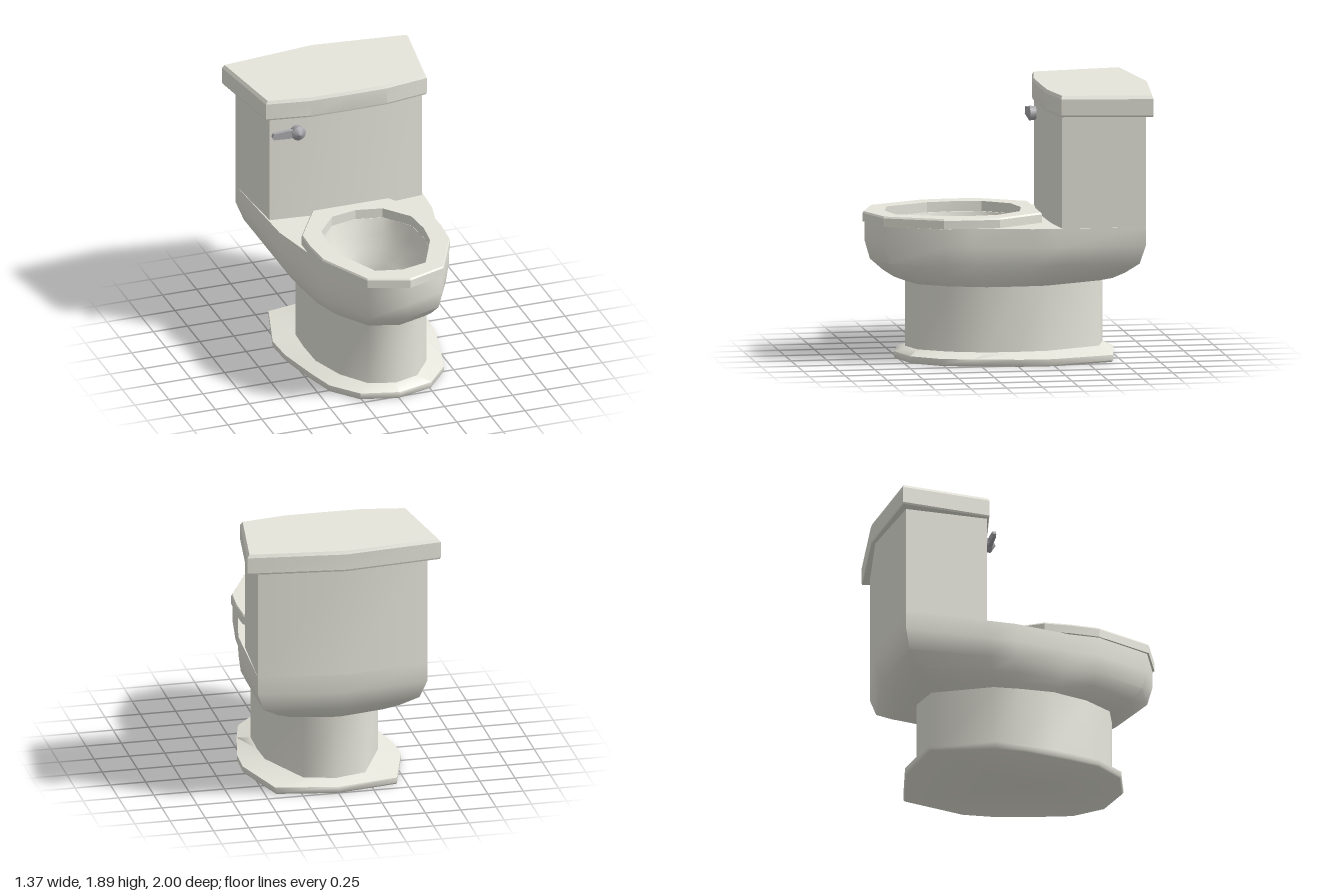
import * as THREE from 'three';
import { toCreasedNormals } from 'three/addons/utils/BufferGeometryUtils.js';

// Half outlines [x, z] run from the front centre to the back centre.
const BODY = [[0, .985], [.27, .89], [.46, .51], [.47, .3], [.56, -.1], [.57, -.29], [.6, -.88], [0, -.97]];
const PEDESTAL = [[0, .7], [.18, .645], [.32, .45], [.405, .2], [.41, -.03], [.4, -.22], [.22, -.62], [0, -.68]];
const FOOT = [[0, .78], [.26, .71], [.42, .52], [.48, .3], [.55, -.02], [.56, -.24], [.43, -.68], [0, -.76]];
const HOLE = [[0, .845], [.185, .8], [.33, .49], [.35, .31], [.33, .11], [.26, .02], [.185, -.07], [0, -.11]];
const SEAT = [[0, 1], [.28, .9], [.47, .51], [.485, .3], [.48, .12], [.28, -.21], [0, -.21]];
const TANK = [[0, -.265], [.28, -.27], [.56, -.3], [.6, -.88], [0, -.97]];
const LID = [[0, -.235], [.28, -.238], [.59, -.29], [.685, -.92], [0, -1]];

const mix = (a, b, t) => a.map(([x, z], i) => [x + (b[i][0] - x) * t, z + (b[i][1] - z) * t]);
const scale = (a, s, from, to = from) => a.map(([x, z]) => [x * s, (z - from) * s + to]);
const ring = (y, half) => {
  const mirrored = half.slice(1, -1).reverse().map(([x, z]) => [-x, z]);
  return [...half, ...mirrored].map(([x, z]) => [x, y, z]);
};

// Skin a stack of rings, optionally closing the first and last one.
function loft(rings, crease, capStart = true, capEnd = true) {
  const pos = [];
  const n = rings[0].length;
  const tri = (...corners) => corners.forEach(c => pos.push(...c));
  const middle = r => [0, r[0][1], r.reduce((sum, p) => sum + p[2], 0) / n];
  for (let j = 0; j < n; j++) {
    const k = (j + 1) % n;
    for (let i = 0; i < rings.length - 1; i++) {
      const a = rings[i], b = rings[i + 1];
      tri(a[j], a[k], b[k]);
      tri(a[j], b[k], b[j]);
    }
    const first = rings[0], last = rings[rings.length - 1];
    if (capStart) tri(middle(first), first[k], first[j]);
    if (capEnd) tri(middle(last), last[j], last[k]);
  }
  const geo = new THREE.BufferGeometry();
  geo.setAttribute('position', new THREE.Float32BufferAttribute(pos, 3));
  return toCreasedNormals(geo, crease);
}

export function createModel() {
  const model = new THREE.Group();
  const china = new THREE.MeshStandardMaterial({ color: 0xe7e6dc });
  const metal = new THREE.MeshStandardMaterial({ color: 0xa8a8ac });
  const add = (name, geo, mat = china, parent = model) => {
    const mesh = new THREE.Mesh(geo, mat);
    mesh.name = name;
    parent.add(mesh);
    return mesh;
  };

  // Flared foot and smooth pedestal
  add('foot', loft([
    ring(0, scale(FOOT, .985, 0)), ring(.012, FOOT), ring(.05, FOOT), ring(.085, PEDESTAL),
  ], 1.2, true, false));
  add('pedestal', loft([ring(.085, PEDESTAL), ring(.54, PEDESTAL)], 1.4, false, false));

  // Bowl: outer shell with its flat rim, then the basin down to the drain
  const shell = [[.54, 0], [.57, .28], [.62, .55], [.7, .87], [.83, 1], [.96, 1]];
  add('bowl', loft([
    ...shell.map(([y, t]) => ring(y, mix(PEDESTAL, BODY, t))), ring(.96, HOLE),
  ], .85, false, false));
  const basin = [
    [.96, 1, .37], [.85, .94, .37], [.75, .8, .335], [.67, .63, .275],
    [.61, .45, .2], [.56, .31, .135], [.47, .22, .085], [.4, .1, .06],
  ];
  add('basin', loft(basin.map(([y, s, z]) => ring(y, scale(HOLE, s, .37, z))), 1.4, false));

  // Seat ring
  const seatHole = HOLE.filter((p, i) => i !== 5);
  add('seat', loft([
    ring(.962, SEAT), ring(1.02, SEAT), ring(1.032, scale(SEAT, .985, .4)),
    ring(1.032, seatHole), ring(.962, seatHole), ring(.962, SEAT),
  ], .3, false, false));

  // Tank and its bevelled lid
  add('tank', loft([ring(.96, TANK), ring(1.76, TANK)], .5));
  add('tankLid', loft([
    ring(1.74, scale(LID, .99, -.6)), ring(1.752, LID), ring(1.865, LID), ring(1.888, scale(LID, .975, -.6)),
  ], .3));

  // Flush handle: pointed knob and tapered lever
  const handle = new THREE.Group();
  handle.name = 'flushHandle';
  handle.position.set(-.37, 1.63, -.25);
  model.add(handle);
  const knobProfile = [[0, -.04], [.046, -.04], [.052, .018], [0, .05]].map(([r, y]) => new THREE.Vector2(r, y));
  const knob = add('knob', toCreasedNormals(new THREE.LatheGeometry(knobProfile, 12), .6), metal, handle);
  knob.rotation.x = Math.PI / 2;
  const leverShape = new THREE.Shape([[0, -.03], [0, .03], [-.06, .03], [-.18, .022], [-.192, 0], [-.18, -.022], [-.06, -.03]]
    .map(([x, y]) => new THREE.Vector2(x, y)));
  const lever = add('lever', new THREE.ExtrudeGeometry(leverShape, { depth: .026, bevelEnabled: false }), metal, handle);
  lever.position.z = -.012;

  return model;
}
